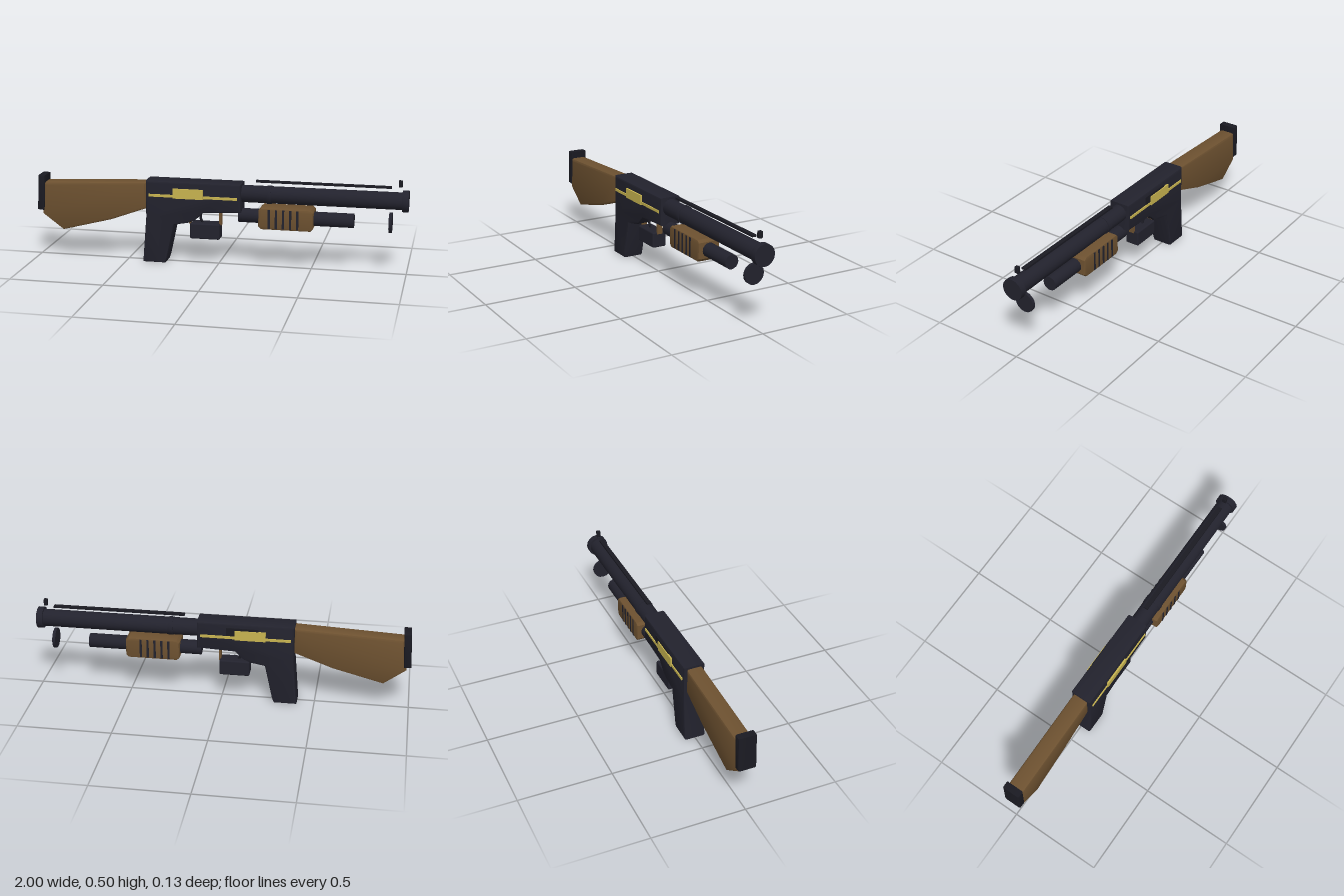
import * as THREE from 'three';
import { RoundedBoxGeometry } from 'three/addons/geometries/RoundedBoxGeometry.js';
import { toCreasedNormals } from 'three/addons/utils/BufferGeometryUtils.js';

export function createModel() {
  const group = new THREE.Group();
  const mat = (name, color) => {
    const m = new THREE.MeshStandardMaterial({ color });
    m.name = name;
    return m;
  };
  const steel = mat('dark steel', 0x22222d);
  const black = mat('black rubber', 0x1a1a22);
  const wood = mat('brown wood', 0x6d5130);
  const gold = mat('gold trim', 0xc8b450);

  const add = (name, geo, material, x = 0, y = 0, z = 0) => {
    const mesh = new THREE.Mesh(geo, material);
    mesh.name = name;
    mesh.position.set(x, y, z);
    group.add(mesh);
    return mesh;
  };
  // Box given by its x and y limits, centre z and depth
  const box = (name, x0, x1, y0, y1, depth, material, z = 0) =>
    add(name, new THREE.BoxGeometry(x1 - x0, y1 - y0, depth), material, (x0 + x1) / 2, (y0 + y1) / 2, z);
  // Cylinder lying along x
  const rod = (name, x0, x1, y, r, material, sides = 16) => {
    const geo = toCreasedNormals(new THREE.CylinderGeometry(r, r, x1 - x0, sides).rotateZ(-Math.PI / 2), 0.6);
    return add(name, geo, material, (x0 + x1) / 2, y);
  };
  // Bevelled side profile, centred on z
  const slab = (name, points, depth, bevel, material) => {
    const shape = new THREE.Shape(points.map(([x, y]) => new THREE.Vector2(x, y)));
    const geo = new THREE.ExtrudeGeometry(shape, {
      depth: depth - 2 * bevel, bevelEnabled: true, bevelThickness: bevel,
      bevelSize: bevel, bevelOffset: -bevel, bevelSegments: 2,
    });
    geo.translate(0, 0, bevel - depth / 2);
    return add(name, toCreasedNormals(geo, 0.5), material);
  };

  // Receiver with its grip
  slab('receiver', [
    [-0.408, 0], [-0.285, 0], [-0.275, 0.03], [-0.235, 0.215], [-0.16, 0.228], [-0.12, 0.245],
    [-0.075, 0.288], [0.128, 0.298], [0.128, 0.45], [-0.388, 0.45], [-0.388, 0.25],
  ], 0.116, 0.01, steel);

  // Shoulder stock and pad
  slab('stock', [
    [-0.975, 0.235], [-0.86, 0.15], [-0.59, 0.22], [-0.385, 0.295], [-0.385, 0.438], [-0.96, 0.412],
  ], 0.088, 0.014, wood);
  slab('buttPad', [[-1, 0.258], [-0.962, 0.255], [-0.952, 0.45], [-0.99, 0.45]], 0.098, 0.007, black);

  // Barrel, muzzle and band
  rod('barrel', 0.12, 0.98, 0.393, 0.046, steel);
  rod('muzzle', 0.967, 1, 0.393, 0.057, steel);
  rod('barrelBand', 0.26, 0.285, 0.393, 0.049, steel);

  // Sighting rib and front sight
  box('sightRib', 0.2, 0.91, 0.458, 0.468, 0.024, black);
  add('frontSight', new RoundedBoxGeometry(0.02, 0.036, 0.022, 2, 0.004), black, 0.955, 0.484);

  // Lower tube and end disc
  rod('lowerTube', 0.11, 0.72, 0.275, 0.038, steel);
  rod('endDisc', 0.902, 0.918, 0.275, 0.054, steel);

  // Sliding fore-end with dark grooves on its sides
  const hw = [[0.222, 0.232], [0.236, 0.217], [0.498, 0.217], [0.512, 0.232],
    [0.512, 0.318], [0.498, 0.332], [0.236, 0.332], [0.222, 0.318]];
  slab('foreEnd', hw, 0.124, 0.009, wood);
  for (let i = 0; i < 5; i++) {
    const x = 0.28 + i * 0.0375;
    for (const s of [-1, 1]) {
      box('foreEndGroove', x - 0.006, x + 0.006, 0.224, 0.326, 0.005, steel, s * 0.0615);
    }
  }

  // Trigger, its guard posts and the box below
  add('lowerBox', new RoundedBoxGeometry(0.162, 0.085, 0.08, 2, 0.008), steel, -0.07, 0.182);
  box('guardPost', 0.004, 0.016, 0.215, 0.3, 0.03, wood);
  box('guardPost', -0.16, -0.15, 0.215, 0.25, 0.03, wood);
  const curve = new THREE.QuadraticBezierCurve3(
    new THREE.Vector3(-0.1, 0.275, 0), new THREE.Vector3(-0.105, 0.24, 0), new THREE.Vector3(-0.085, 0.22, 0));
  add('trigger', new THREE.TubeGeometry(curve, 6, 0.007, 6), black);

  // Gold trim on both sides
  for (const s of [-1, 1]) {
    box('goldStripe', -0.37, 0.11, 0.366, 0.38, 0.008, gold, s * 0.0595);
    box('goldPlate', -0.238, -0.074, 0.362, 0.415, 0.009, gold, s * 0.0625);
  }

  // Port cover on the far side
  box('portCover', -0.2, -0.03, 0.382, 0.427, 0.006, black, -0.059);
  return group;
}
